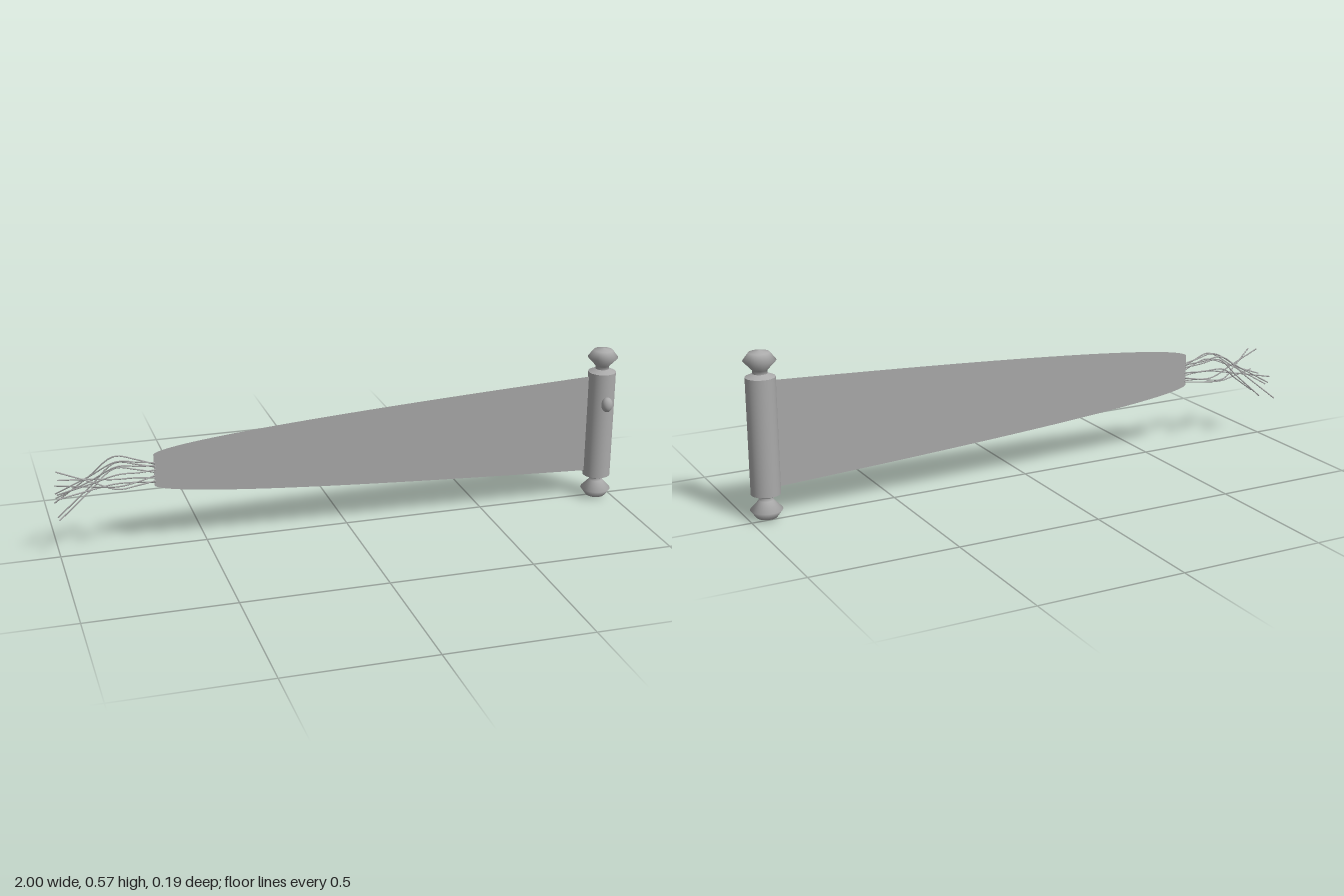
import * as THREE from 'three';

const AXIS_X = 0.942, AXIS_Z = 0.017, MID_Y = 0.284;

export function createModel() {
  const model = new THREE.Group();
  const grey = new THREE.MeshStandardMaterial({ color: 0xaaaaaa });
  grey.name = 'grey';
  const clothGrey = new THREE.MeshStandardMaterial({ color: 0xa8a8a8, side: THREE.DoubleSide });
  clothGrey.name = 'cloth grey';

  const add = (name, geometry, material, parent = model) => {
    const mesh = new THREE.Mesh(geometry, material);
    mesh.name = name;
    parent.add(mesh);
    return mesh;
  };
  const lathe = (pts) => new THREE.LatheGeometry(pts.map(([r, y]) => new THREE.Vector2(r, y)), 32);

  // Upright post: straight barrel, sloped shoulders and a faceted knob at each end
  const post = new THREE.Group();
  post.name = 'post';
  post.position.set(AXIS_X, MID_Y, AXIS_Z);
  model.add(post);
  add('barrel', lathe([[0.049, -0.196], [0.049, 0.196]]), grey, post);
  for (const side of [1, -1]) {
    const end = new THREE.Group();
    end.name = side > 0 ? 'topEnd' : 'bottomEnd';
    if (side < 0) end.rotation.x = Math.PI;
    post.add(end);
    add('shoulder', lathe([[0.049, 0.196], [0.024, 0.207]]), grey, end);
    add('endKnob', lathe([[0.024, 0.207], [0.024, 0.218], [0.0535, 0.25], [0.034, 0.276], [0, 0.283]]), grey, end);
  }

  // Small oval button on the front of the post
  const button = add('button', new THREE.SphereGeometry(1, 20, 14), grey);
  button.scale.set(0.02, 0.027, 0.02);
  button.position.set(AXIS_X, 0.372, 0.073);

  // Flat sheet that narrows in a curve towards the tassel
  const x0 = -0.675, x1 = 0.91, steps = 40;
  const upper = [], lower = [];
  for (let i = 0; i <= steps; i++) {
    const t = (i / steps) ** 2;
    const half = 0.055 + 0.125 * Math.pow(t, 0.56);
    const x = x0 + (x1 - x0) * t;
    upper.push(new THREE.Vector2(x, MID_Y + half));
    lower.unshift(new THREE.Vector2(x, MID_Y - half));
  }
  const sheet = add('sheet', new THREE.ShapeGeometry(new THREE.Shape([...upper, ...lower])), clothGrey);
  sheet.position.z = 0.015;

  // Tassel strands: start y, bulge y and z, tip y and z
  const strands = [
    [0.31, 0.33, 0.02, 0.21, -0.05],
    [0.305, 0.33, -0.03, 0.16, -0.09],
    [0.30, 0.325, 0.05, 0.20, -0.035],
    [0.295, 0.315, -0.01, 0.145, 0.0],
    [0.285, 0.30, 0.06, 0.23, 0.01],
    [0.275, 0.285, -0.035, 0.155, 0.05],
    [0.265, 0.255, 0.055, 0.235, -0.06],
    [0.255, 0.245, -0.035, 0.31, 0.08],
    [0.245, 0.235, 0.03, 0.32, 0.03],
    [0.24, 0.235, -0.02, 0.235, 0.06],
  ];
  const tassel = new THREE.Group();
  tassel.name = 'tassel';
  model.add(tassel);
  for (const [y0, ym, zm, ye, ze] of strands) {
    const curve = new THREE.CatmullRomCurve3([
      new THREE.Vector3(-0.67, y0, 0.015),
      new THREE.Vector3(-0.73, (y0 + ym) / 2, 0.015 + (zm - 0.015) * 0.65),
      new THREE.Vector3(-0.8, ym, zm),
      new THREE.Vector3(-0.89, ym * 0.55 + ye * 0.45, zm * 0.6 + ze * 0.4),
      new THREE.Vector3(-1, ye, ze),
    ]);
    add('strand', new THREE.TubeGeometry(curve, 20, 0.0025, 5), clothGrey, tassel);
  }
  return model;
}
